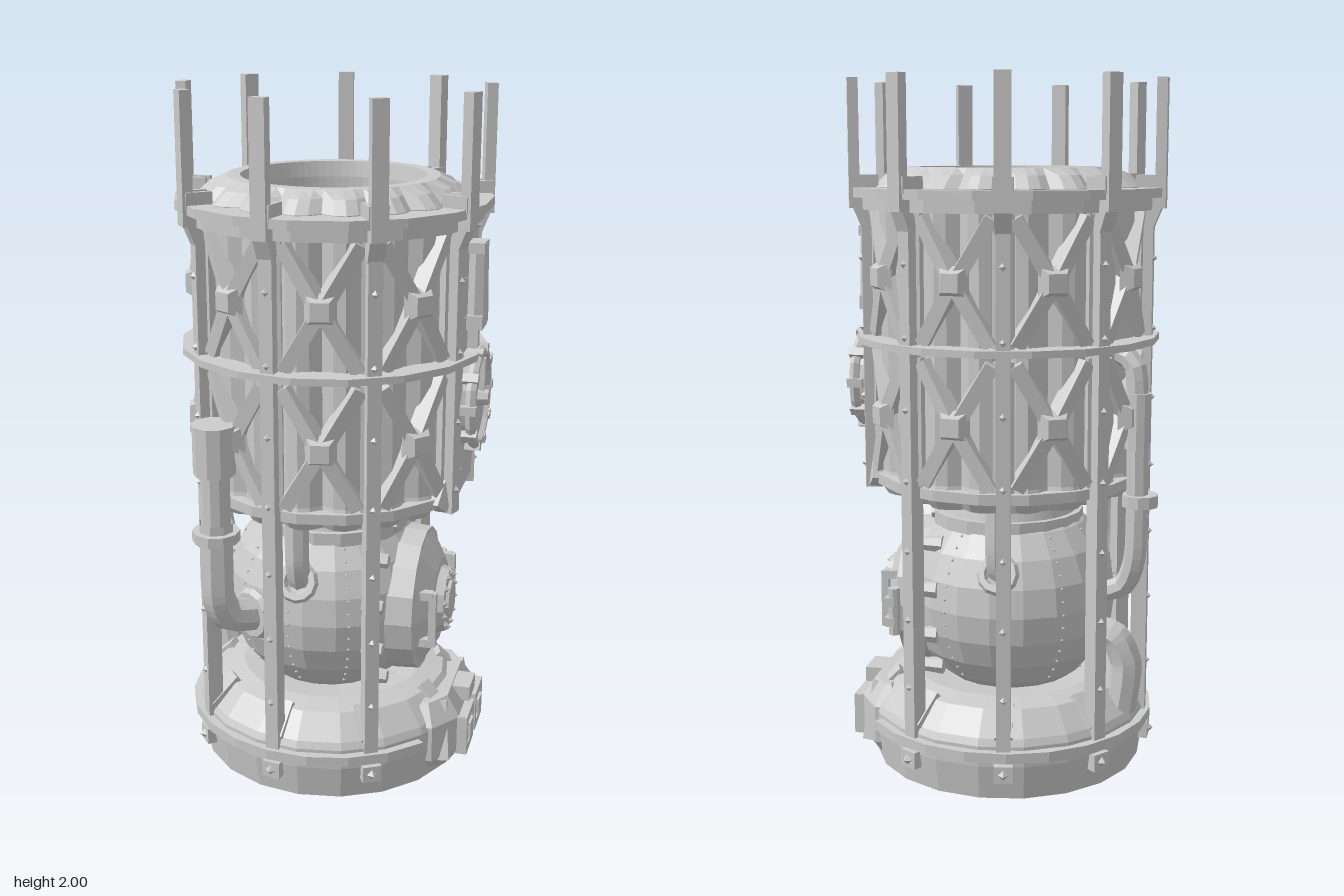
import * as THREE from 'three';

const mat = new THREE.MeshStandardMaterial({ color: 0xcccccc, flatShading: true, side: THREE.DoubleSide });
const rad = THREE.MathUtils.degToRad;
const V = (x, y, z) => new THREE.Vector3(x, y, z);

function add(parent, name, geo, x = 0, y = 0, z = 0) {
  const m = new THREE.Mesh(geo, mat);
  m.name = name;
  m.position.set(x, y, z);
  parent.add(m);
  return m;
}
const box = (p, name, w, h, d, x, y, z) => add(p, name, new THREE.BoxGeometry(w, h, d), x, y, z);

// Disc or drum whose axis points along +x; r1 is the outer end
function drum(p, name, r0, r1, len, x, y, z, sides = 16) {
  return add(p, name, new THREE.CylinderGeometry(r1, r0, len, sides).rotateZ(-Math.PI / 2), x, y, z);
}
function lathe(p, name, pts, sides, start = 0, len = Math.PI * 2) {
  const geo = new THREE.LatheGeometry(pts.map(([r, y]) => new THREE.Vector2(r, y)), sides, start, len);
  return add(p, name, geo);
}
function ring(p, name, y, ri, ro, h, ...arc) {
  return lathe(p, name, [[ri, y - h], [ro, y - h], [ro, y + h], [ri, y + h], [ri, y - h]], 18, ...arc);
}
function beam(p, name, a, b, w, d) {
  const m = add(p, name, new THREE.BoxGeometry(d, a.distanceTo(b), w));
  m.position.copy(a).add(b).multiplyScalar(0.5);
  m.quaternion.setFromUnitVectors(V(0, 1, 0), b.clone().sub(a).normalize());
  return m;
}
function pipe(p, name, pts, r) {
  const path = new THREE.CatmullRomCurve3(pts.map((q) => V(...q)), false, 'catmullrom', 0.3);
  return add(p, name, new THREE.TubeGeometry(path, 24, r, 8));
}
// Group turned so that its local +x points outward at an angle (from +x towards +z)
function spoke(parent, name, deg) {
  const g = new THREE.Group();
  g.name = name;
  g.rotation.y = -rad(deg);
  parent.add(g);
  return g;
}
function rivet(p, r, x, y, z) {
  return add(p, 'rivet', new THREE.OctahedronGeometry(r), x, y, z);
}

// Base: low drum with a sloped deck and wedge ribs
function buildBase(root) {
  lathe(root, 'base', [[0, 0], [0.4, 0], [0.415, 0.1], [0.415, 0.16], [0.405, 0.18], [0.345, 0.245],
    [0.28, 0.26], [0.19, 0.25], [0, 0.25]], 20);
  ring(root, 'baseHoop', 0.135, 0.4, 0.437, 0.015, rad(128), rad(284));
  for (let i = 0; i < 9; i++) {
    const g = spoke(root, 'baseRib', 20 + i * 40);
    beam(g, 'deckRib', V(0.405, 0.18, 0), V(0.325, 0.255, 0), 0.05, 0.025);
  }
  // Chamfered housing at the hatch side, its wings swept back round the drum
  const g = spoke(root, 'baseHousing', 0);
  const plan = new THREE.Shape([[0.28, -0.22], [0.36, -0.22], [0.425, -0.13], [0.425, 0.13], [0.36, 0.22], [0.28, 0.22]]
    .map((q) => new THREE.Vector2(...q)));
  add(g, 'housingBody', new THREE.ExtrudeGeometry(plan, { depth: 0.11, bevelEnabled: true, bevelSegments: 1,
    bevelSize: 0.04, bevelOffset: -0.04, bevelThickness: 0.06 }).rotateX(-Math.PI / 2), 0, 0.06, 0);
  box(g, 'housingBridge', 0.08, 0.045, 0.1, 0.4, 0.205, 0);
  for (const k of [-1, 1]) {
    for (const y of [0.06, 0.16]) box(g, 'windowRail', 0.04, 0.025, 0.12, 0.43, y, k * 0.075);
    for (const z of [0.025, 0.125]) box(g, 'windowPost', 0.04, 0.12, 0.025, 0.43, 0.11, k * z);
    box(g, 'windowBlock', 0.05, 0.05, 0.05, 0.43, 0.11, k * 0.075);
    beam(g, 'housingBrace', V(0.39, 0.05, k * 0.18), V(0.37, 0.22, k * 0.13), 0.035, 0.035);
  }
}

// Riveted ball chamber with its round hatch
function buildChamber(root) {
  const c = new THREE.Group();
  c.name = 'chamber';
  c.position.set(-0.01, 0.5, 0);
  root.add(c);
  add(c, 'ball', new THREE.SphereGeometry(0.315, 20, 12));
  for (let i = 0; i < 8; i++) {
    for (let j = -6; j <= 6; j++) {
      const a = rad(65 + i * 33), e = rad(j * 7);
      rivet(c, 0.005, 0.314 * Math.cos(e) * Math.cos(a), 0.314 * Math.sin(e), 0.314 * Math.cos(e) * Math.sin(a));
    }
  }
  const h = new THREE.Group();
  h.name = 'hatch';
  h.position.set(0, 0.49, 0);
  root.add(h);
  drum(h, 'hatchSeat', 0.22, 0.215, 0.08, 0.25, 0, 0, 16);
  drum(h, 'hatchDoor', 0.205, 0.13, 0.045, 0.312, 0, 0, 12);
  drum(h, 'windowFrame', 0.105, 0.095, 0.03, 0.345, 0, 0, 12);
  drum(h, 'windowPane', 0.07, 0.06, 0.03, 0.355, 0, 0, 8);
  for (let i = 0; i < 12; i++) {
    const a = rad(i * 30 + 15), y = Math.sin(a), z = Math.cos(a);
    rivet(h, 0.012, 0.361, 0.083 * y, 0.083 * z);
    drum(h, 'hatchLug', 0.026, 0.02, 0.06, 0.185, 0.262 * y, 0.262 * z, 6);
  }
  for (const k of [-1, 1]) {
    box(h, 'grabBar', 0.022, 0.17, 0.022, 0.34, 0, k * 0.15);
    for (const y of [-0.075, 0.075]) box(h, 'grabFoot', 0.06, 0.025, 0.025, 0.31, y, k * 0.15);
    box(h, 'hingeArm', 0.03, 0.025, 0.1, 0.3, k * 0.03 - 0.01, -0.205);
  }
  add(h, 'hingePin', new THREE.CylinderGeometry(0.018, 0.018, 0.14, 8), 0.29, -0.01, -0.235);
}

// Fluted hollow barrel: a turned profile whose outer wall is pressed into flutes
function buildBarrel(root) {
  const m = lathe(root, 'barrel', [[0.19, 0.7], [0.21, 0.74], [0.2, 0.78], [0.27, 0.805], [0.365, 0.82], [0.39, 0.855],
    [0.38, 0.89], [0.38, 1.64], [0.388, 1.66], [0.388, 1.7], [0.35, 1.735], [0.3, 1.755], [0.262, 1.755], [0.255, 1.71],
    [0.25, 0.97], [0.21, 0.93], [0.2, 0.86], [0.16, 0.8], [0, 0.8]], 72);
  const p = m.geometry.attributes.position;
  for (let i = 0; i < p.count; i++) {
    const x = p.getX(i), z = p.getZ(i);
    if (Math.hypot(x, z) < 0.33) continue;
    const k = 1 - 0.09 * (1 - Math.abs(Math.sin(9 * Math.atan2(z, x))));
    p.setX(i, x * k);
    p.setZ(i, z * k);
  }
  ring(root, 'neckCollar', 0.735, 0.19, 0.225, 0.02);
  ring(root, 'lowerHoop', 0.865, 0.36, 0.395, 0.015);
  ring(root, 'middleHoop', 1.27, 0.37, 0.442, 0.01);
  ring(root, 'topHoop', 1.685, 0.36, 0.452, 0.013);
  ring(root, 'topHoopLip', 1.655, 0.36, 0.425, 0.018);
  for (let i = 0; i < 4; i++) {
    const bar = box(root, 'floorGrille', 0.51, 0.03, 0.022, 0, 0.99, 0);
    bar.rotation.y = i * Math.PI / 4;
  }
}

// Crossed struts with a square boss
function buildCross(g, y) {
  for (const s of [-1, 1]) {
    for (const t of [-1, 1]) {
      beam(g, 'strut', V(0.365, y + s * 0.17, t * 0.1), V(0.385, y, 0), 0.04, 0.045);
    }
    beam(g, 'sideRail', V(0.365, y - 0.18, s * 0.118), V(0.365, y + 0.18, s * 0.118), 0.025, 0.025);
  }
  const boss = drum(g, 'boss', 0.062, 0.036, 0.035, 0.405, y, 0, 4);
  boss.rotation.x = Math.PI / 4;
}

// Cage of nine uprights; the two beside the hatch stop at the barrel
function buildCage(root) {
  for (let i = 0; i < 9; i++) {
    const deg = 20 + i * 40;
    const g = spoke(root, 'upright', deg);
    const low = i === 0 || i === 8 ? 0.83 : 0.12;
    box(g, 'post', 0.045, 1.62 - low, 0.04, 0.4, (1.62 + low) / 2, 0);
    beam(g, 'postJog', V(0.405, 1.59, 0), V(0.438, 1.67, 0), 0.045, 0.035);
    box(g, 'topPost', 0.03, 0.36, 0.045, 0.441, 1.82, 0);
    for (const k of [-1, 1]) box(g, 'clampCheek', 0.075, 0.045, 0.015, 0.41, 1.71, k * 0.02);
    for (let y = 0.3; y < 1.6; y += 0.2) if (y > low) rivet(g, 0.014, 0.42, y, 0);
    if (low < 0.5) {
      box(g, 'postFoot', 0.045, 0.05, 0.055, 0.41, 0.085, 0);
      rivet(g, 0.016, 0.432, 0.085, 0);
    }
    if (i === 8) continue;
    const bay = spoke(root, 'crossBay', deg + 20);
    buildCross(bay, 1.065);
    buildCross(bay, 1.455);
  }
}

// Control panel above the hatch: lock wheel and lever housing
function buildPanel(root) {
  const g = spoke(root, 'controlPanel', 0);
  box(g, 'panelPlate', 0.05, 0.78, 0.25, 0.37, 1.255, 0);
  for (const k of [-1, 1]) {
    for (let y = 0.95; y < 1.65; y += 0.11) rivet(g, 0.012, 0.395, y, k * 0.11);
    beam(g, 'panelFoot', V(0.37, 0.95, k * 0.1), V(0.35, 0.85, k * 0.18), 0.05, 0.04);
  }
  drum(g, 'lockDisc', 0.14, 0.13, 0.04, 0.41, 1.135, 0);
  add(g, 'lockRim', new THREE.TorusGeometry(0.135, 0.016, 6, 16).rotateY(Math.PI / 2), 0.43, 1.135, 0);
  drum(g, 'lockHub', 0.03, 0.022, 0.04, 0.44, 1.135, 0, 8);
  beam(g, 'lockPointer', V(0.44, 1.14, 0), V(0.44, 1.25, 0), 0.022, 0.016);
  for (let i = 0; i < 10; i++) {
    const a = rad(i * 36);
    const lug = box(g, 'lockLug', 0.045, 0.025, 0.025, 0.425, 1.135 + 0.142 * Math.sin(a), 0.142 * Math.cos(a));
    lug.rotation.x = -a;
  }
  add(g, 'leverTube', new THREE.CylinderGeometry(0.03, 0.035, 0.22, 8), 0.415, 1.47, 0);
  box(g, 'leverCap', 0.05, 0.03, 0.075, 0.415, 1.57, 0);
  box(g, 'leverFoot', 0.05, 0.04, 0.085, 0.415, 1.36, 0);
  box(g, 'leverRod', 0.03, 0.1, 0.03, 0.41, 1.3, 0);
}

// Pipework between barrel, ball and base
function buildPipes(root) {
  const tube = (name, r, h, x, y, z) => add(root, name, new THREE.CylinderGeometry(r, r, h, 10), x, y, z);
  pipe(root, 'frontPipe', [[-0.245, 0.82, 0.365], [-0.245, 0.6, 0.365], [-0.225, 0.52, 0.33], [-0.13, 0.49, 0.22]], 0.05);
  tube('frontPipeNeck', 0.042, 0.2, -0.245, 0.88, 0.365);
  tube('frontPipeFlange', 0.068, 0.03, -0.245, 0.78, 0.365);
  tube('frontPipeFilter', 0.06, 0.13, -0.245, 1.03, 0.365);
  tube('frontPipeCap', 0.064, 0.02, -0.245, 1.1, 0.365);
  const socket = add(root, 'frontPipeSocket', new THREE.TorusGeometry(0.058, 0.02, 6, 12), -0.17, 0.5, 0.265);
  socket.rotation.y = -0.57;
  pipe(root, 'sidePipe', [[-0.34, 1.24, -0.1], [-0.395, 1.18, -0.12], [-0.4, 0.68, -0.12], [-0.365, 0.56, -0.1],
    [-0.27, 0.52, -0.08]], 0.032);
  tube('sidePipeFlange', 0.052, 0.035, -0.41, 0.82, -0.12);
  tube('sidePipeSleeve', 0.038, 0.16, -0.4, 1.05, -0.12);
  pipe(root, 'drainPipe', [[-0.25, 0.42, -0.09], [-0.34, 0.4, -0.1], [-0.375, 0.32, -0.1], [-0.36, 0.18, -0.1]], 0.047);
  for (const k of [-1, 1]) {
    pipe(root, 'feedPipe', [[-0.03, 0.86, k * 0.29], [-0.03, 0.7, k * 0.29], [-0.03, 0.63, k * 0.27], [-0.03, 0.6, k * 0.2]], 0.036);
    const collar = add(root, 'feedCollar', new THREE.TorusGeometry(0.046, 0.016, 6, 12), -0.03, 0.625, k * 0.285);
    collar.rotation.x = -k * 0.45;
  }
}

export function createModel() {
  const root = new THREE.Group();
  root.name = 'pressureChamber';
  for (const build of [buildBase, buildChamber, buildBarrel, buildCage, buildPanel, buildPipes]) build(root);
  return root;
}
